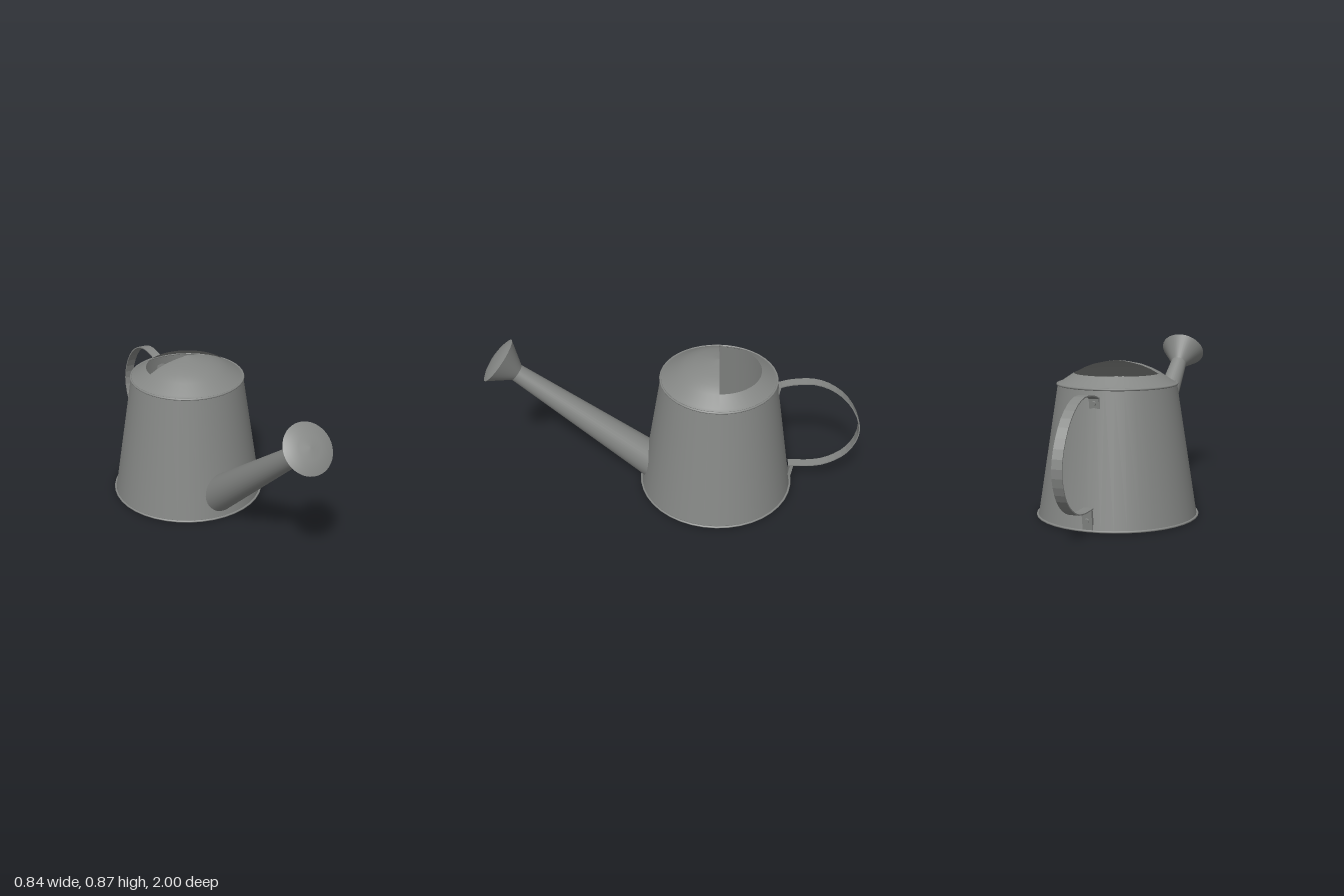
import * as THREE from 'three';

const V = (x, y) => new THREE.Vector2(x, y);

export function createModel() {
  const model = new THREE.Group();
  model.name = 'wateringCan';
  const metal = new THREE.MeshStandardMaterial({ color: 0x858785, side: THREE.DoubleSide });
  metal.name = 'grey metal';

  const add = (parent, name, geometry) => {
    const mesh = new THREE.Mesh(geometry, metal);
    mesh.name = name;
    parent.add(mesh);
    return mesh;
  };
  const lathe = (pts, start = 0, sweep = Math.PI * 2, seg = 40) =>
    new THREE.LatheGeometry(pts.map(p => V(...p)), seg, start, sweep);

  // Can: tapered wall, floor and two rolled rims around one axis
  const can = new THREE.Group();
  can.name = 'can';
  can.position.z = -0.233;
  model.add(can);
  add(can, 'wall', lathe([[0.41, 0.005], [0.305, 0.68]]));
  const floor = add(can, 'floor', new THREE.CircleGeometry(0.415, 40));
  floor.rotation.x = Math.PI / 2;
  floor.position.y = 0.002;
  for (const [name, r, y] of [['bottomRim', 0.415, 0.006], ['topRim', 0.306, 0.681]]) {
    const rim = add(can, name, new THREE.TorusGeometry(r, 0.006, 8, 40));
    rim.rotation.x = Math.PI / 2;
    rim.position.y = y;
  }

  // Lid: domed hood over the front half, sloping collar round the filling hole behind
  const collar = [[0.303, 0.684], [0.288, 0.692], [0.222, 0.736]];
  add(can, 'hood', lathe(
    [...collar, [0.18, 0.758], [0.13, 0.777], [0.065, 0.791], [0, 0.8]],
    -Math.PI / 2, Math.PI, 24));
  add(can, 'collar', lathe(collar, Math.PI / 2, Math.PI, 24));

  // Spout and sprinkler head share a tilted axis
  const spout = new THREE.Group();
  spout.name = 'spout';
  spout.position.set(0, 0.08, 0.07);
  spout.rotation.x = 0.886;
  model.add(spout);
  const length = 0.979;
  const pipe = add(spout, 'pipe', new THREE.CylinderGeometry(0.046, 0.1, length, 32, 1, true));
  pipe.position.y = length / 2;
  const head = add(spout, 'headCone', lathe([[0.046, -0.005], [0.052, 0.004], [0.128, 0.112]]));
  const face = add(spout, 'headFace', lathe(
    [[0.128, 0.112], [0.1, 0.123], [0.06, 0.132], [0, 0.136]]));
  head.position.y = face.position.y = length;

  // Handle: thin strap, drawn as (distance behind, height) and extruded across
  const path = new THREE.SplineCurve([
    [0.548, 0.632], [0.57, 0.648], [0.641, 0.663], [0.732, 0.665], [0.823, 0.633], [0.909, 0.563],
    [0.973, 0.461], [0.997, 0.36], [0.973, 0.262], [0.92, 0.188], [0.834, 0.134],
    [0.743, 0.115], [0.632, 0.115]].map(p => V(...p)));
  const outer = [], inner = [];
  for (let i = 0; i <= 28; i++) {
    const p = path.getPoint(i / 28), t = path.getTangent(i / 28);
    outer.push(V(p.x - t.y * 0.003, p.y + t.x * 0.003));
    inner.unshift(V(p.x + t.y * 0.003, p.y - t.x * 0.003));
  }
  const strap = new THREE.ExtrudeGeometry(new THREE.Shape([...outer, ...inner]),
    { depth: 0.052, bevelEnabled: false });
  strap.rotateY(Math.PI / 2).translate(-0.026, 0, 0);
  add(model, 'handleStrap', strap);

  // Riveted tabs fixing the handle to the sloping wall
  for (const [name, y, z, h, d] of [
    ['upperTab', 0.617, -0.549, 0.056, 0.012], ['lowerTab', 0.06, -0.643, 0.105, 0.018]]) {
    const tab = new THREE.Group();
    tab.name = name;
    tab.position.set(0, y, z);
    tab.rotation.x = -0.154;
    model.add(tab);
    add(tab, 'plate', new THREE.BoxGeometry(0.052, h, d));
    const rivet = add(tab, 'rivet', new THREE.CylinderGeometry(0.01, 0.012, 0.006, 12));
    rivet.rotation.x = -Math.PI / 2;
    rivet.position.z = -d / 2 - 0.002;
  }
  return model;
}
